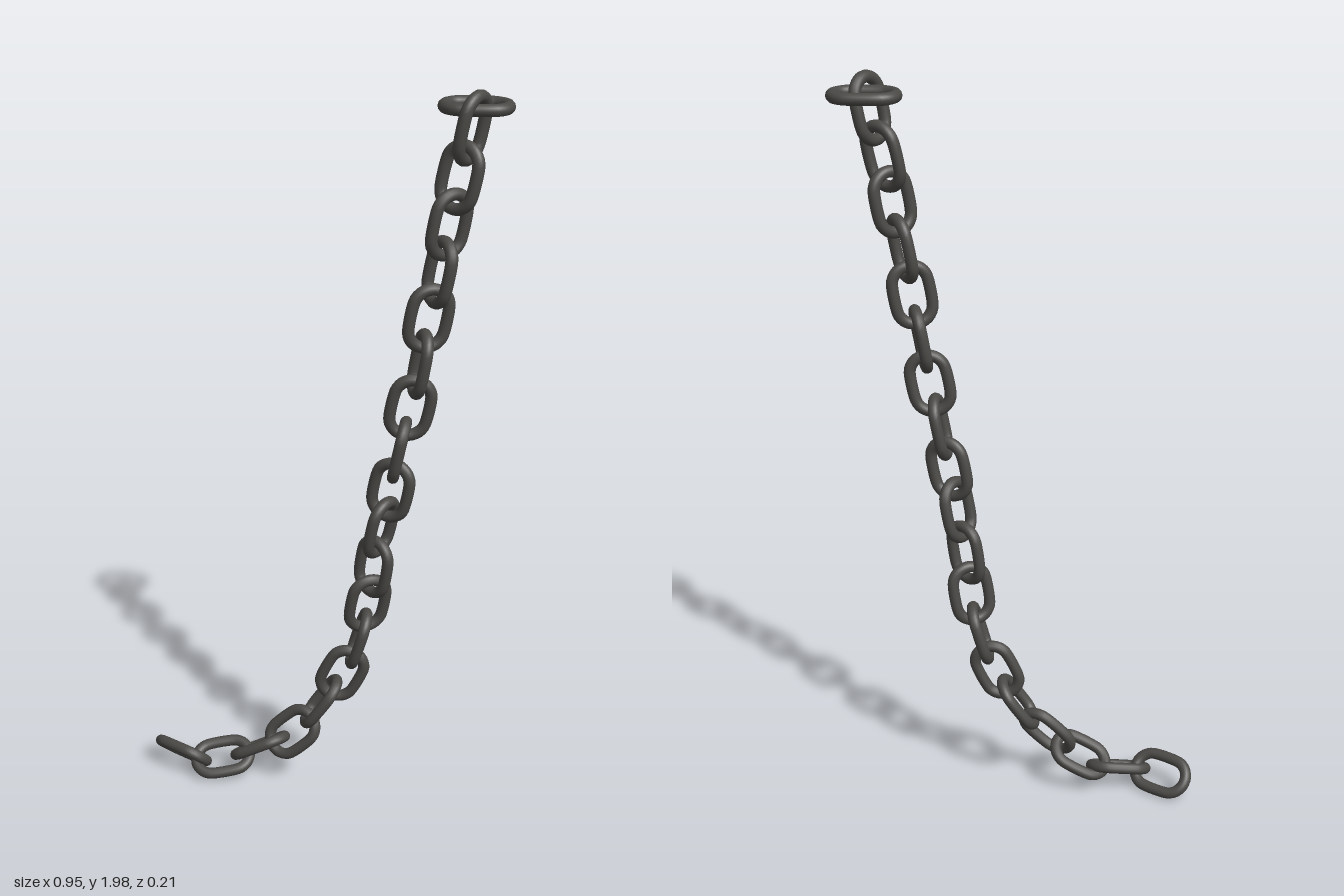
import * as THREE from 'three';

const WIRE = 0.0155, HALF_WIDTH = 0.047, STRAIGHT = 0.03;

// Each link: centre x, y, z, roll in degrees about its long axis, optional axis direction
const LINKS = [
  [0.378, 1.95, -0.012, 90, [-1, 0, 0]],
  [0.372, 1.908, 0.037, -60, [-0.18, -1, 0]],
  [0.345, 1.79, 0.037, 35],
  [0.325, 1.675, 0.041, -40],
  [0.305, 1.555, 0.041, 60],
  [0.282, 1.435, 0.039, -20],
  [0.264, 1.315, 0.041, 75],
  [0.242, 1.195, 0.037, -5],
  [0.217, 1.075, 0.032, 92],
  [0.196, 0.957, 0.026, 20],
  [0.173, 0.843, 0.016, -60],
  [0.153, 0.72, 0.005, 40],
  [0.138, 0.602, -0.005, -25],
  [0.114, 0.485, -0.016, 85],
  [0.069, 0.37, -0.018, 0],
  [0.01, 0.272, -0.022, 88],
  [-0.07, 0.172, -0.012, 30],
  [-0.165, 0.108, -0.028, -65],
  [-0.272, 0.067, -0.02, 60, [-1, -0.15, 0.2]],
  [-0.39, 0.065, -0.041, -45, [-0.85, 0, -0.48]],
];

// Stadium-shaped wire loop lying in the xy plane, long along y
function linkGeometry() {
  const points = [];
  for (const side of [1, -1]) {
    for (let i = 0; i <= 8; i++) {
      const a = (i / 8) * Math.PI;
      points.push(new THREE.Vector3(
        side * HALF_WIDTH * Math.cos(a),
        side * (STRAIGHT + HALF_WIDTH * Math.sin(a)), 0));
    }
  }
  const curve = new THREE.CatmullRomCurve3(points, true, 'centripetal');
  return new THREE.TubeGeometry(curve, 48, WIRE, 12, true);
}

export function createModel() {
  const group = new THREE.Group();
  group.name = 'hangingChain';
  const iron = new THREE.MeshStandardMaterial({ color: 0x4a4946 });
  iron.name = 'darkIron';
  const geometry = linkGeometry();
  const centres = LINKS.map(([x, y, z]) => new THREE.Vector3(x, y, z));

  LINKS.forEach(([, , , roll, axis], i) => {
    // Long axis follows the chain unless given
    const along = axis
      ? new THREE.Vector3(...axis)
      : centres[i + 1].clone().sub(centres[i - 1]);
    along.normalize();
    const u = new THREE.Vector3(-along.y, along.x, 0).normalize();
    const v = new THREE.Vector3().crossVectors(along, u).normalize();
    if (v.z < 0) v.negate();
    const a = THREE.MathUtils.degToRad(roll);
    const across = u.multiplyScalar(Math.cos(a)).addScaledVector(v, Math.sin(a));
    const normal = new THREE.Vector3().crossVectors(across, along);

    const link = new THREE.Mesh(geometry, iron);
    link.name = i === 0 ? 'topRing' : `chainLink${i}`;
    link.quaternion.setFromRotationMatrix(
      new THREE.Matrix4().makeBasis(across, along, normal));
    link.position.copy(centres[i]);
    group.add(link);
  });
  return group;
}
